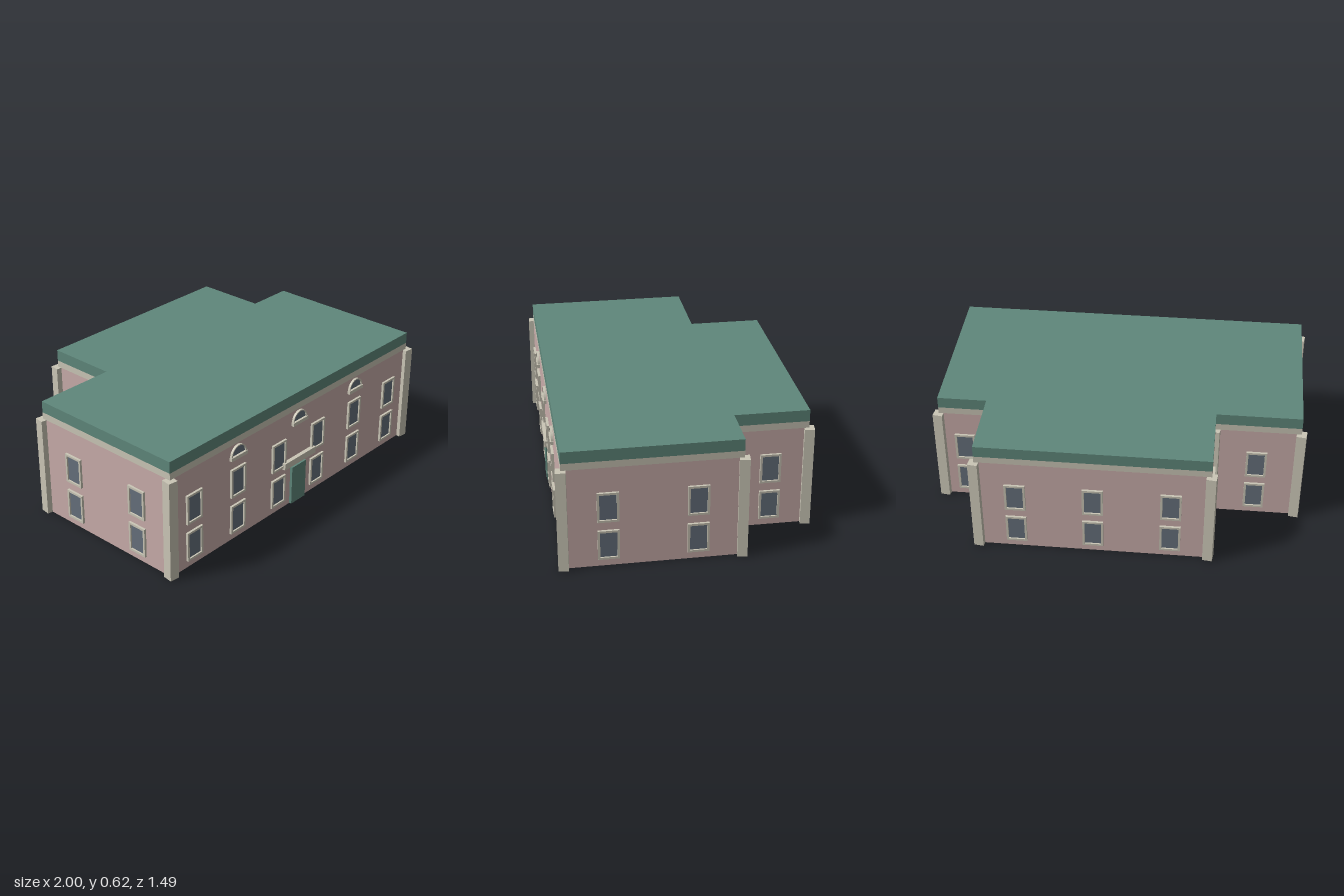
import * as THREE from 'three';

const material = (name, color) => {
  const m = new THREE.MeshStandardMaterial({ color });
  m.name = name;
  return m;
};

export function createModel() {
  const pink = material('pink render', 0xc9adaa);
  const stone = material('pale stone', 0xcac6b6);
  const green = material('green paint', 0x5f877b);
  const glass = material('grey glass', 0x66707c);

  const building = new THREE.Group();
  building.name = 'building';

  const add = (parent, name, geometry, mat, x = 0, y = 0, z = 0) => {
    const mesh = new THREE.Mesh(geometry, mat);
    mesh.name = name;
    mesh.position.set(x, y, z);
    parent.add(mesh);
    return mesh;
  };
  const extrude = (shape, depth) =>
    new THREE.ExtrudeGeometry(shape, { depth, bevelEnabled: false, curveSegments: 12 });

  // Footprint corners (x, z) and the number of window columns on the wall after each
  const corners = [
    [-0.863, 0.717, 6], [0.972, 0.475, 2], [0.86, -0.381, 1], [0.61, -0.348, 1],
    [0.562, -0.72, 3], [-0.593, -0.567, 1], [-0.545, -0.195, 1], [-0.974, -0.138, 2],
  ];
  const plan = new THREE.Shape(corners.map(([x, z]) => new THREE.Vector2(x, -z)));

  // Stacked storeys: walls, cornice band and flat roof
  const layer = (name, y0, y1, mat) =>
    add(building, name, extrude(plan, y1 - y0).rotateX(-Math.PI / 2), mat, 0, y0, 0);
  layer('walls', 0, 0.53, pink);
  layer('cornice', 0.53, 0.565, stone);
  layer('roof', 0.565, 0.625, green);

  // Square piers at every corner
  const pierGeometry = new THREE.BoxGeometry(0.05, 0.53, 0.05);
  corners.forEach(([x, z]) => add(building, 'cornerPier', pierGeometry, stone, x, 0.265, z));

  // Rectangular window: raised frame around a recessed pane
  const rectangle = (Type, w, h) => new Type([
    new THREE.Vector2(-w / 2, -h / 2), new THREE.Vector2(w / 2, -h / 2),
    new THREE.Vector2(w / 2, h / 2), new THREE.Vector2(-w / 2, h / 2),
  ]);
  const frameShape = rectangle(THREE.Shape, 0.105, 0.157);
  frameShape.holes.push(rectangle(THREE.Path, 0.083, 0.135));
  const frameGeometry = extrude(frameShape, 0.012);
  const paneGeometry = new THREE.BoxGeometry(0.083, 0.135, 0.004);

  // Half-round window: arched trim, pane and sill
  const archShape = new THREE.Shape();
  archShape.absarc(0, 0, 0.054, 0, Math.PI, false);
  archShape.absarc(0, 0, 0.048, Math.PI, 0, true);
  const archGeometry = extrude(archShape, 0.012);
  const lunetteShape = new THREE.Shape();
  lunetteShape.absarc(0, 0, 0.048, 0, Math.PI, false);
  const lunetteGeometry = extrude(lunetteShape, 0.004);
  const sillGeometry = new THREE.BoxGeometry(0.115, 0.018, 0.016);

  // Each wall gets a group whose x runs along it and whose z points outwards
  corners.forEach(([x, z, columns], i) => {
    const [nx, nz] = corners[(i + 1) % corners.length];
    const length = Math.hypot(nx - x, nz - z);
    const wall = new THREE.Group();
    wall.name = i === 0 ? 'frontWallDetails' : 'wallDetails';
    wall.position.set(x, 0, z);
    wall.rotation.y = Math.atan2(z - nz, nx - x);
    building.add(wall);

    for (let c = 0; c < columns; c++) {
      const along = length * (c + 0.5) / columns;
      for (const y of [0.118, 0.322]) {
        add(wall, 'windowFrame', frameGeometry, stone, along, y, 0);
        add(wall, 'windowPane', paneGeometry, glass, along, y, 0.002);
      }
    }

    if (i !== 0) return;

    // Front wall only: half-round windows, door and canopy
    for (const t of [0.25, 0.5, 0.75]) {
      add(wall, 'archTrim', archGeometry, stone, length * t, 0.47, 0);
      add(wall, 'archPane', lunetteGeometry, glass, length * t, 0.47, 0);
      add(wall, 'archSill', sillGeometry, stone, length * t, 0.462, 0.008);
    }
    add(wall, 'door', new THREE.BoxGeometry(0.11, 0.213, 0.014), green, length / 2, 0.1085, 0.007);
    add(wall, 'doorCanopy', new THREE.BoxGeometry(0.246, 0.035, 0.022), stone, length / 2, 0.25, 0.011);
  });

  return building;
}
